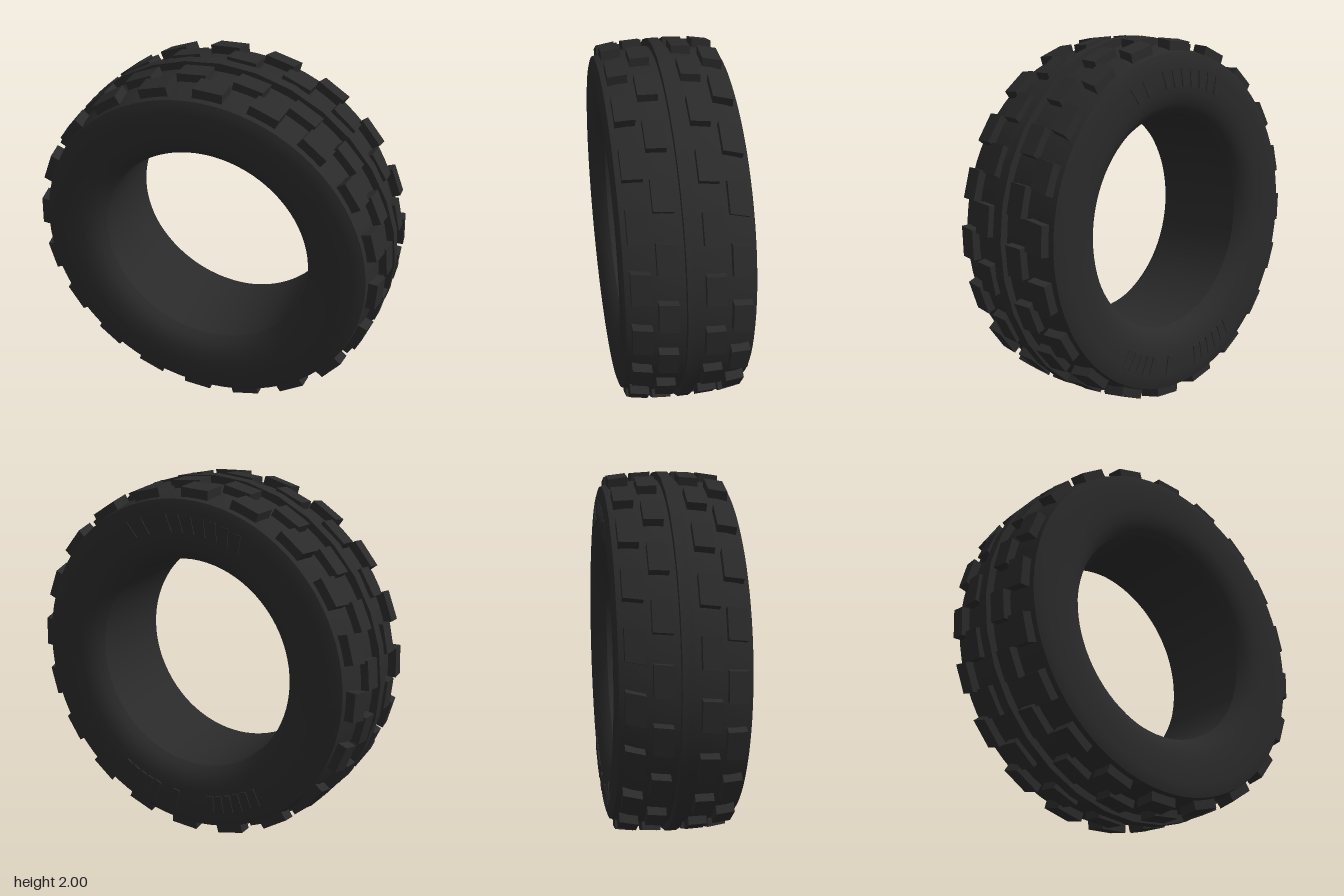
import * as THREE from 'three';
import { toCreasedNormals } from 'three/addons/utils/BufferGeometryUtils.js';

const rubber = new THREE.MeshStandardMaterial({ color: 0x2a2a2a });
rubber.name = 'black rubber';
const DEG = Math.PI / 180;

function addMesh(parent, name, geometry) {
  const mesh = new THREE.Mesh(geometry, rubber);
  mesh.name = name;
  parent.add(mesh);
  return mesh;
}

// Ring turned around the z axis from a symmetric half profile of [radius, z]
function ring(half, segments) {
  const lower = half.map(([r, z]) => new THREE.Vector2(r, -z));
  const upper = half.map(([r, z]) => new THREE.Vector2(r, z)).reverse();
  const points = [...lower, ...upper, lower[0].clone()];
  const geometry = new THREE.LatheGeometry(points, segments);
  geometry.rotateX(Math.PI / 2);
  return toCreasedNormals(geometry, 0.5);
}

// Tread block: x is radial, y runs along the tread, z across it
function blockGeometry(top, slope, skew) {
  const base = 0.9;
  const geometry = new THREE.BoxGeometry(top - base, 0.16, 0.1);
  geometry.translate((top + base) / 2, 0, 0);
  const p = geometry.attributes.position;
  for (let i = 0; i < p.count; i++) {
    const z = p.getZ(i);
    p.setX(i, p.getX(i) - slope * z);
    p.setY(i, p.getY(i) + skew * z);
  }
  geometry.computeVertexNormals();
  return geometry;
}

export function createModel() {
  const model = new THREE.Group();
  model.name = 'tyre';
  const wheel = new THREE.Group();
  wheel.name = 'tyreBody';
  wheel.position.y = 1;
  model.add(wheel);

  // Carcass: inner bore, rounded sidewalls, crisp shoulders, crowned tread
  addMesh(wheel, 'carcass', ring([
    [0.59, 0.26], [0.615, 0.293], [0.655, 0.32], [0.71, 0.335], [0.78, 0.34],
    [0.85, 0.34], [0.89, 0.336], [0.92, 0.327], [0.94, 0.25], [0.953, 0.12], [0.956, 0.03],
  ], 80));

  // Raised centre rib
  addMesh(wheel, 'centreRib', ring([[0.93, 0.03], [1, 0.03]], 32));

  // Four staggered rows of tread blocks
  const rows = [
    { name: 'frontOuterBlocks', z: 0.25, top: 0.982, slope: 0.15, skew: 0.08, phase: 15.5 },
    { name: 'frontInnerBlocks', z: 0.12, top: 0.993, slope: 0.06, skew: 0.1, phase: 5.7 },
    { name: 'backInnerBlocks', z: -0.115, top: 0.993, slope: -0.06, skew: 0.1, phase: 13 },
    { name: 'backOuterBlocks', z: -0.25, top: 0.982, slope: -0.15, skew: 0.2, phase: 3 },
  ];
  for (const row of rows) {
    const group = new THREE.Group();
    group.name = row.name;
    wheel.add(group);
    const geometry = blockGeometry(row.top, row.slope, row.skew);
    for (let i = 0; i < 20; i++) {
      const block = addMesh(group, 'treadBlock', geometry);
      block.position.z = row.z;
      block.rotation.z = (row.phase + i * 18) * DEG;
    }
  }

  // Plain raised bars on the back sidewall; angles run from +x towards +y
  const bars = new THREE.Group();
  bars.name = 'sidewallBars';
  wheel.add(bars);
  const barGeometry = new THREE.BoxGeometry(0.1, 0.04, 0.014);
  const runs = [
    { start: 64.5, step: 6.5, count: 2 },
    { start: 82, step: 5.2, count: 7 },
    { start: 237, step: 4.3, count: 6 },
    { start: 275.4, step: 1, count: 1 },
    { start: 285, step: 4, count: 5 },
  ];
  for (const run of runs) {
    for (let i = 0; i < run.count; i++) {
      const angle = (run.start + i * run.step) * DEG;
      const bar = addMesh(bars, 'sidewallBar', barGeometry);
      bar.position.set(Math.cos(angle) * 0.79, Math.sin(angle) * 0.79, -0.338);
      bar.rotation.z = angle + (Math.sin(angle) > 0 ? -0.25 : 0.1);
    }
  }
  return model;
}
